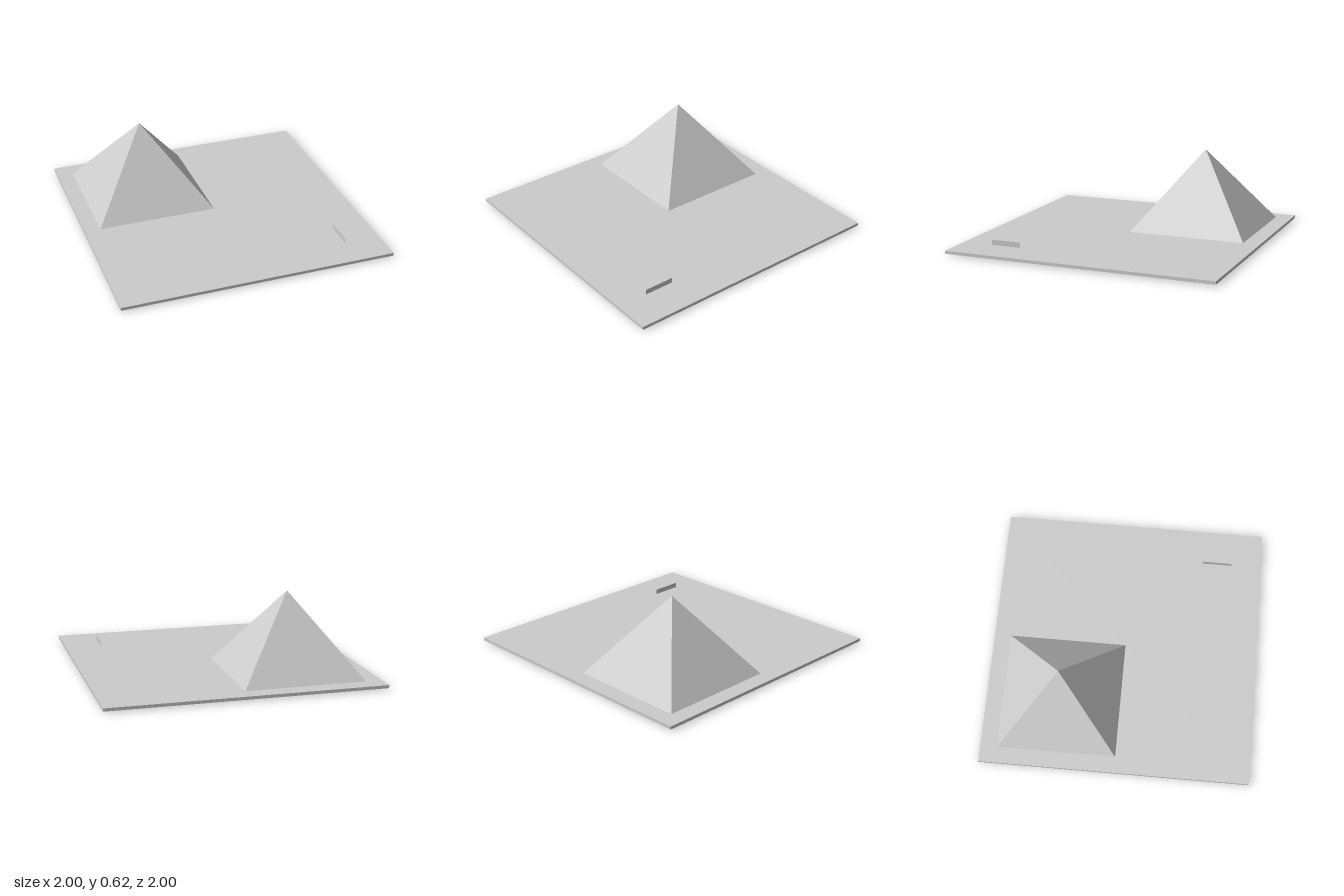
import * as THREE from 'three';

export function createModel() {
  const group = new THREE.Group();
  const grey = new THREE.MeshStandardMaterial({ color: 0xcccccc, flatShading: true });
  const thin = new THREE.MeshStandardMaterial({ color: 0xcccccc, flatShading: true, side: THREE.DoubleSide });

  const add = (name, geometry, material, x, y, z) => {
    const mesh = new THREE.Mesh(geometry, material);
    mesh.name = name;
    mesh.position.set(x, y, z);
    group.add(mesh);
    return mesh;
  };

  // Square ground slab
  add('groundSlab', new THREE.BoxGeometry(2, 0.022, 2), grey, 0, 0.021, 0);

  // Four-sided pyramid standing on the slab's back right quarter
  const side = 0.88, height = 0.585;
  const pyramid = new THREE.ConeGeometry(side / Math.SQRT2, height, 4).rotateY(Math.PI / 4);
  add('pyramid', pyramid, grey, -0.44, 0.032 + height / 2, -0.435);

  // Thin upright panel, passing through the slab
  const panel = new THREE.PlaneGeometry(0.225, 0.07).rotateY(Math.PI / 2);
  add('uprightPanel', panel, thin, 0.73, 0.035, 0.66);

  return group;
}
